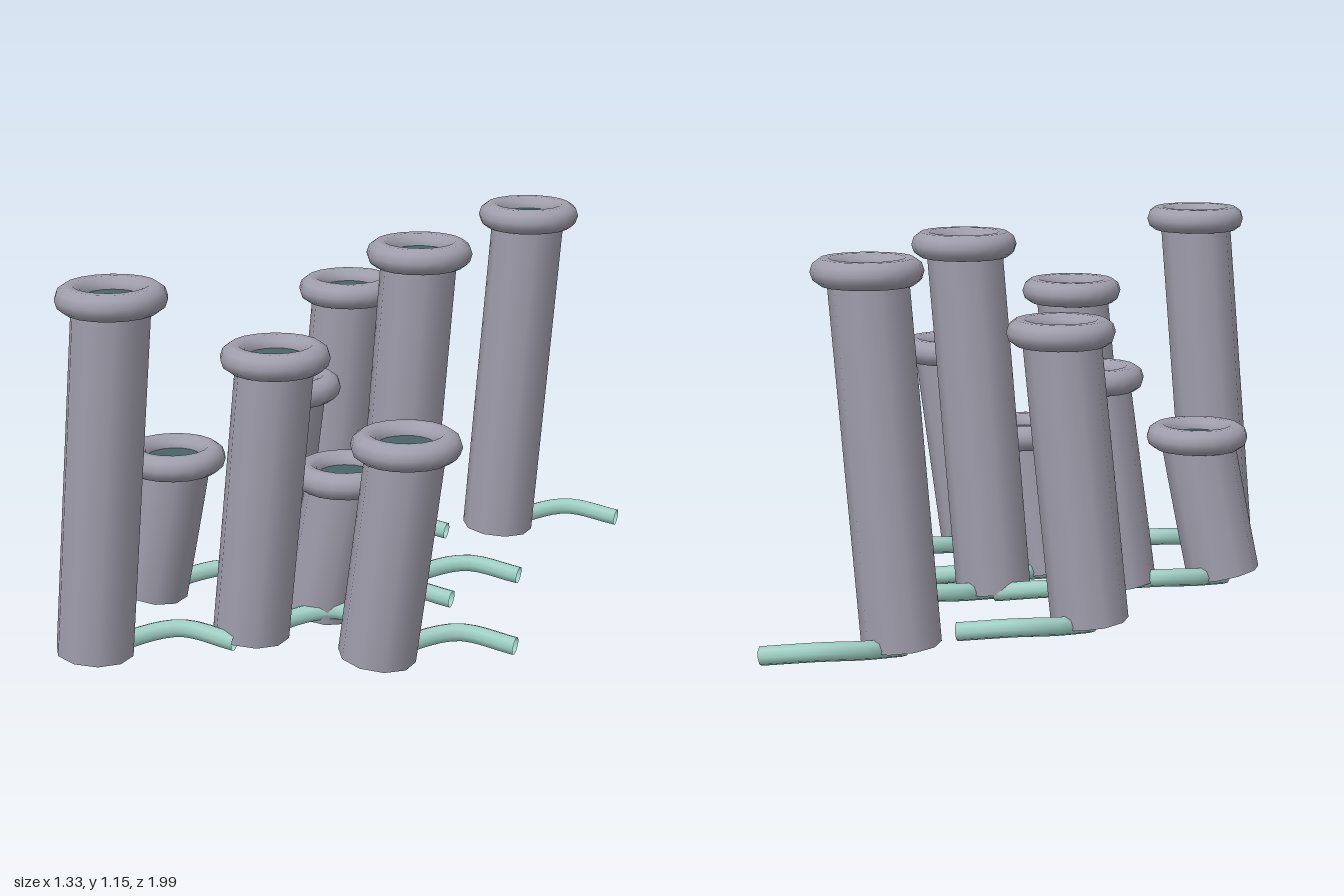
import * as THREE from 'three';

export function createModel() {
  const group = new THREE.Group();
  const mat = (name, color) => {
    const m = new THREE.MeshStandardMaterial({ color, side: THREE.DoubleSide });
    m.name = name;
    return m;
  };
  const shell = mat('lavender grey shell', 0xa09eac);
  const throat = mat('dark slate throat', 0x4a6468);
  const teal = mat('pale teal root', 0x9fd0c6);

  const add = (parent, name, geometry, material, x, y, z) => {
    const mesh = new THREE.Mesh(geometry, material);
    mesh.name = name;
    mesh.position.set(x, y, z);
    parent.add(mesh);
  };

  // Shared rim, throat disc and rootlet
  const rimGeo = new THREE.TorusGeometry(0.12, 0.04, 10, 18).rotateX(Math.PI / 2);
  const discGeo = new THREE.CircleGeometry(0.105, 18).rotateX(-Math.PI / 2);
  const rootPath = new THREE.CatmullRomCurve3([
    new THREE.Vector3(0, 0.029, 0.01),
    new THREE.Vector3(0.07, 0.053, -0.13),
    new THREE.Vector3(0.17, 0.065, -0.215),
    new THREE.Vector3(0.34, 0.045, -0.23),
  ]);
  const rootGeo = new THREE.TubeGeometry(rootPath, 14, 0.028, 8, false);

  // Each tube: rim centre x, z and rim centre height
  const lean = 0.09;
  const tubes = [
    [0.27, -0.74, 1.11], [-0.19, -0.36, 0.9], [0.19, -0.065, 1.11],
    [-0.175, 0.09, 0.69], [0.085, 0.225, 0.48], [-0.465, 0.3, 0.48],
    [-0.005, 0.5, 0.9], [0.41, 0.5, 0.69], [-0.345, 0.83, 1.11],
  ];
  for (const [x, z, h] of tubes) {
    const tube = new THREE.Group();
    tube.name = 'tubeCluster';
    tube.position.set(x - lean, 0, z);
    group.add(tube);

    // Open, gently leaning column
    const path = new THREE.QuadraticBezierCurve3(
      new THREE.Vector3(0, 0.04, 0),
      new THREE.Vector3(lean * 0.48, h * 0.5, 0),
      new THREE.Vector3(lean, h, 0),
    );
    add(tube, 'column', new THREE.TubeGeometry(path, 8, 0.115, 10, false), shell, 0, 0, 0);
    add(tube, 'rim', rimGeo, shell, lean, h, 0);
    add(tube, 'throat', discGeo, throat, lean, h + 0.005, 0);
    add(tube, 'root', rootGeo, teal, 0, 0, 0);
  }
  return group;
}
